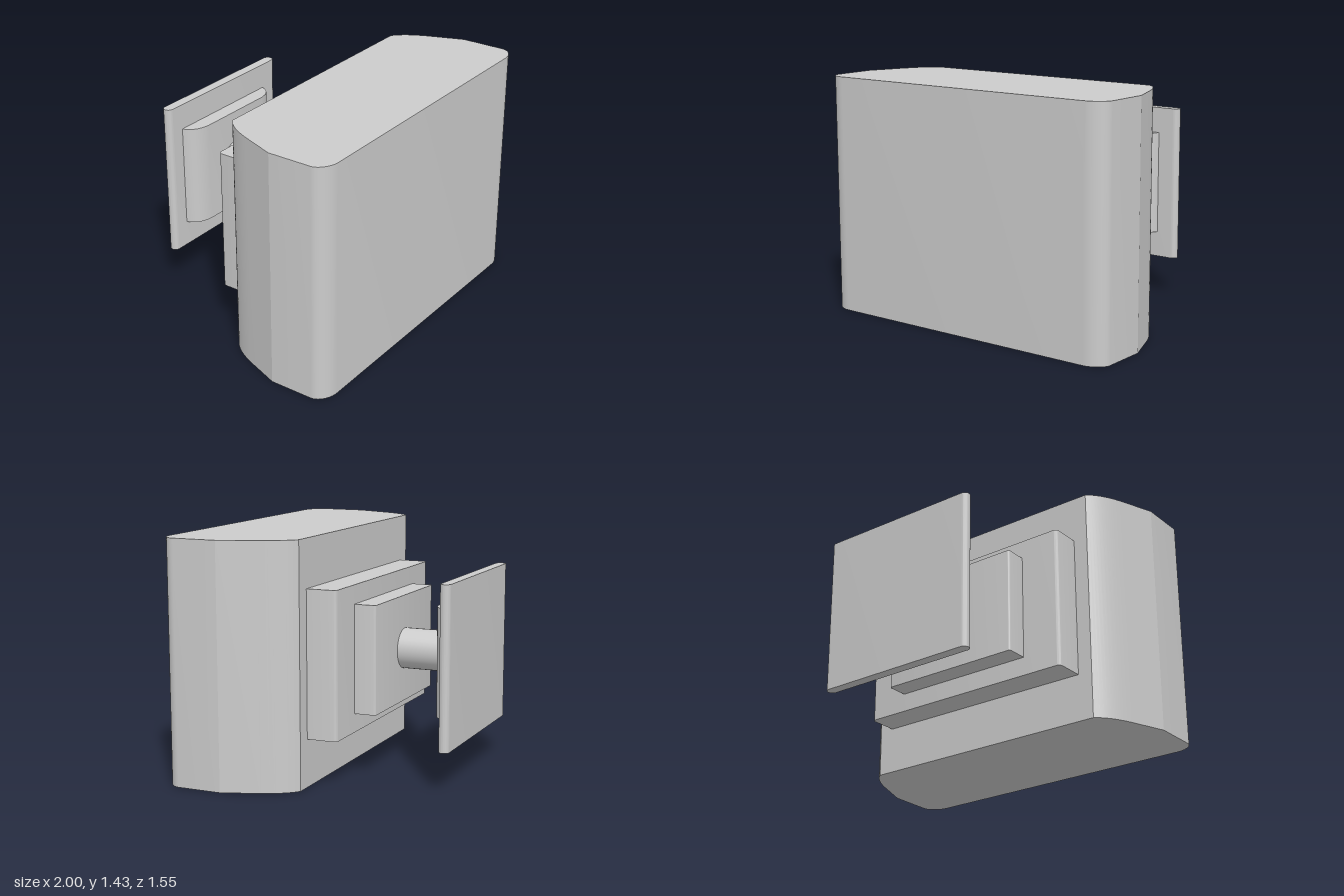
import * as THREE from 'three';
import { toCreasedNormals } from 'three/addons/utils/BufferGeometryUtils.js';

const material = new THREE.MeshStandardMaterial({ color: 0xcccccc });
const MID = 0.717; // height of the common centre line

// Extrudes a plan outline upwards; outlines are drawn in (x, -z)
function upright(name, shape, y0, y1) {
  const geo = new THREE.ExtrudeGeometry(shape, { depth: y1 - y0, bevelEnabled: false, curveSegments: 10 });
  geo.rotateX(-Math.PI / 2);
  geo.translate(0, y0, 0);
  const mesh = new THREE.Mesh(toCreasedNormals(geo, 0.35), material);
  mesh.name = name;
  return mesh;
}

// Rectangle in plan with separate radii for its back and front corners
function slab(x0, x1, zBack, zFront, rBack, rFront) {
  const s = new THREE.Shape();
  const H = Math.PI / 2;
  const corner = (x, z, r, a) => {
    if (r > 0) s.absarc(x, -z, r, a, a + H, false);
    else s.lineTo(x, -z);
  };
  s.moveTo(x0 + rFront, -zFront);
  corner(x1 - rFront, zFront - rFront, rFront, -H);
  corner(x1 - rBack, zBack + rBack, rBack, 0);
  corner(x0 + rBack, zBack + rBack, rBack, H);
  corner(x0 + rFront, zFront - rFront, rFront, 2 * H);
  return s;
}

export function createModel() {
  const group = new THREE.Group();
  group.name = 'wallMountedDisplay';

  // Main housing: rounded front corners, tapering sides that curve into the back
  const body = new THREE.Shape();
  body.moveTo(-0.88, -0.775);
  body.lineTo(0.88, -0.775);
  body.bezierCurveTo(0.94, -0.775, 1, -0.73, 1, -0.685);
  body.lineTo(1, -0.415);
  body.lineTo(0.92, -0.2);
  body.quadraticCurveTo(0.865, -0.06, 0.79, -0.008);
  body.lineTo(-0.79, -0.008);
  body.quadraticCurveTo(-0.865, -0.06, -0.92, -0.2);
  body.lineTo(-1, -0.415);
  body.lineTo(-1, -0.685);
  body.bezierCurveTo(-1, -0.73, -0.94, -0.775, -0.88, -0.775);
  group.add(upright('housing', body, 0, 1.434));

  // Two stepped blocks on the back
  group.add(upright('largeBackBlock', slab(-0.7, 0.7, -0.175, 0.008, 0.025, 0), 0.284, 1.15));
  group.add(upright('smallBackBlock', slab(-0.45, 0.45, -0.307, -0.175, 0.015, 0), 0.396, 1.038));

  // Round arm
  const armGeo = new THREE.CylinderGeometry(0.122, 0.122, 0.413, 32);
  armGeo.rotateX(Math.PI / 2);
  const arm = new THREE.Mesh(armGeo, material);
  arm.name = 'arm';
  arm.position.set(0, MID, -0.5085);
  group.add(arm);

  // Bracket flaring from the arm to the wall plate
  const bracket = new THREE.Shape();
  bracket.moveTo(-0.26, 0.621);
  bracket.lineTo(0.27, 0.621);
  bracket.bezierCurveTo(0.35, 0.63, 0.385, 0.665, 0.4, 0.717);
  bracket.lineTo(-0.39, 0.717);
  bracket.bezierCurveTo(-0.375, 0.665, -0.34, 0.63, -0.26, 0.621);
  group.add(upright('bracket', bracket, 0.398, 1.036));

  // Wall plate with fully rounded sides
  group.add(upright('wallPlate', slab(-0.5, 0.53, -0.778, -0.716, 0.031, 0.031), 0.24, 1.194));

  return group;
}
